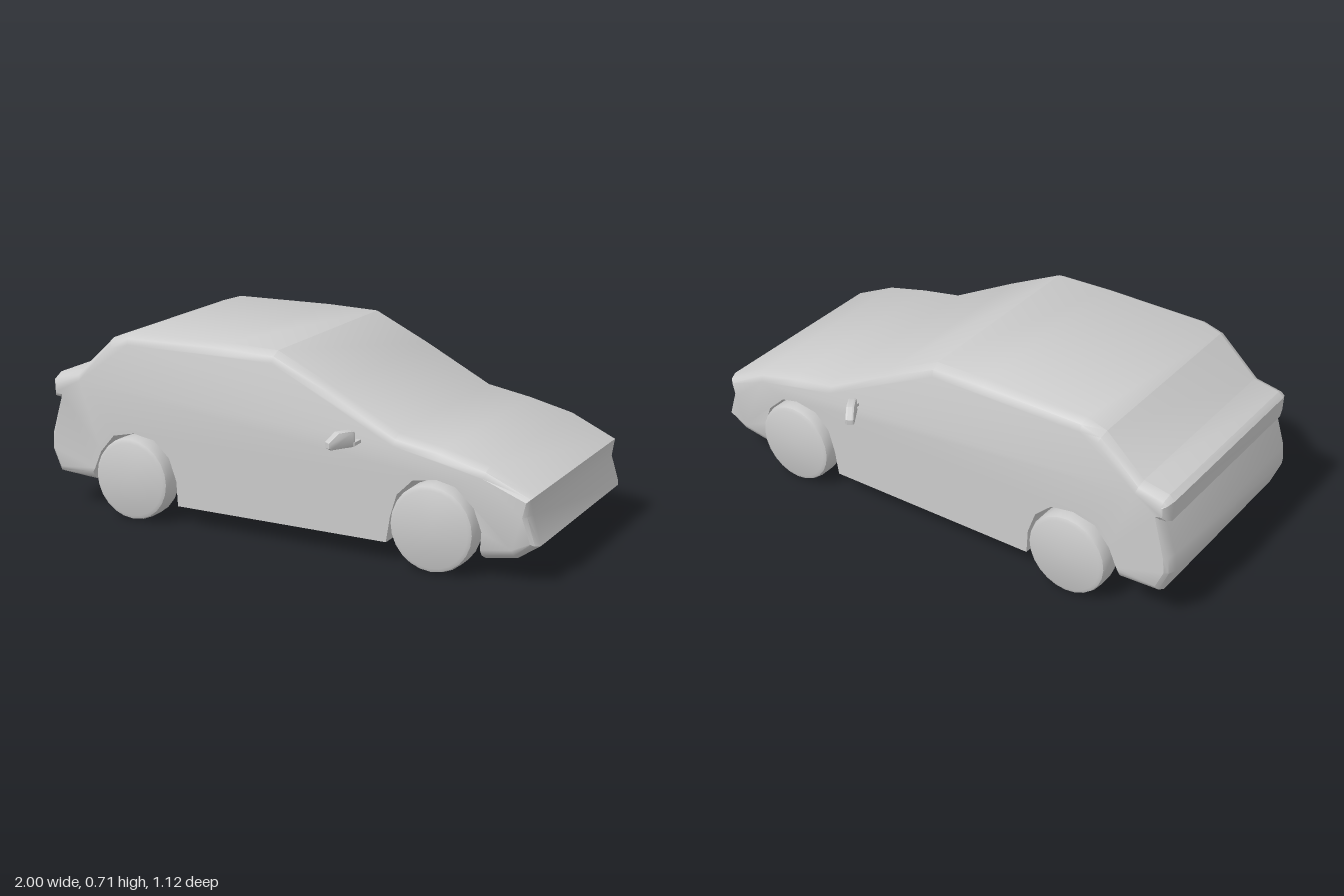
import * as THREE from 'three';
import { toCreasedNormals } from 'three/addons/utils/BufferGeometryUtils.js';

const V = (x, y) => new THREE.Vector2(x, y);

// Side outline: tail, roof, bonnet and nose (edges get rounded)
const SKIN = [
  [-0.80, 0.115], [-0.96, 0.125], [-1.0, 0.22], [-0.995, 0.29], [-0.95, 0.42], [-0.975, 0.42],
  [-0.98, 0.50], [-0.96, 0.52], [-0.86, 0.54], [-0.71, 0.68], [-0.63, 0.705], [-0.22, 0.71],
  [-0.01, 0.705], [0.21, 0.60], [0.47, 0.465], [0.64, 0.435], [0.81, 0.395], [0.98, 0.315],
  [0.97, 0.245], [1.0, 0.14], [0.92, 0.085], [0.80, 0.065],
].map(p => V(...p));

// Wheel arches and floor (edges stay sharp)
const UNDER = [
  [0.80, 0.17], [0.77, 0.25], [0.70, 0.315], [0.63, 0.33], [0.54, 0.315], [0.48, 0.255],
  [0.455, 0.17], [0.44, 0.075], [-0.42, 0.075], [-0.425, 0.17], [-0.455, 0.255], [-0.52, 0.315],
  [-0.61, 0.33], [-0.70, 0.31], [-0.76, 0.24], [-0.79, 0.17],
].map(p => V(...p));

// Outline pulled inwards by d along the skin only
function outline(d) {
  const edge = i => {
    if (i < 0 || i >= SKIN.length - 1) return V(0, 0);
    const e = SKIN[i + 1].clone().sub(SKIN[i]).normalize();
    return V(-e.y, e.x);
  };
  const skin = SKIN.map((p, i) => {
    const n = edge(i - 1).add(edge(i)).normalize();
    return V(p.x - n.x * d * 0.6, p.y - n.y * d);
  });
  return [...skin, ...UNDER];
}

// Loft the outline across the width, then close both flanks
function bodyGeometry() {
  const rings = [[-0.432, 0.04], [-0.42, 0.017], [-0.39, 0], [0.39, 0], [0.42, 0.017], [0.432, 0.04]];
  const pos = [], idx = [], n = SKIN.length + UNDER.length;
  for (const [z, d] of rings) for (const p of outline(d)) pos.push(p.x, p.y, z);
  for (let k = 0; k < rings.length - 1; k++) {
    for (let i = 0; i < n; i++) {
      const a = k * n + i, b = k * n + (i + 1) % n;
      idx.push(a, a + n, b, b, a + n, b + n);
    }
  }
  const cap = outline(0.04), last = (rings.length - 1) * n;
  for (const [a, b, c] of THREE.ShapeUtils.triangulateShape(cap, [])) {
    const ccw = cap[b].clone().sub(cap[a]).cross(cap[c].clone().sub(cap[a])) > 0;
    const [p, q] = ccw ? [b, c] : [c, b];
    idx.push(last + a, last + p, last + q, a, q, p);
  }
  const g = new THREE.BufferGeometry();
  g.setAttribute('position', new THREE.Float32BufferAttribute(pos, 3));
  g.setIndex(idx);
  return toCreasedNormals(g, 0.6);
}

// Solid wheel with rounded shoulders, axle along z
function wheelGeometry() {
  const profile = [[0, -0.051], [0.14, -0.051], [0.153, -0.045], [0.158, -0.03],
    [0.158, 0.03], [0.153, 0.045], [0.14, 0.051], [0, 0.051]].map(p => V(...p));
  return toCreasedNormals(new THREE.LatheGeometry(profile, 24).rotateX(Math.PI / 2), 0.6);
}

// Mirror shell running outwards along +x of its own frame
function mirrorGeometry() {
  const s = new THREE.Shape([[0, 0.003], [0.012, 0], [0.095, 0], [0.108, 0.008], [0.108, 0.028],
    [0.068, 0.06], [0.015, 0.06], [0, 0.054]].map(p => V(...p)));
  const g = new THREE.ExtrudeGeometry(s, {
    depth: 0.016, bevelEnabled: true, bevelThickness: 0.009, bevelSize: 0.008, bevelOffset: -0.008, bevelSegments: 2,
  });
  return toCreasedNormals(g.translate(0, 0, -0.008), 0.7);
}

export function createModel() {
  const car = new THREE.Group();
  car.name = 'car';
  const grey = new THREE.MeshStandardMaterial({ color: 0xcccccc });
  const add = (name, geometry, x, y, z, ry = 0) => {
    const m = new THREE.Mesh(geometry, grey);
    m.name = name;
    m.position.set(x, y, z);
    m.rotation.y = ry;
    car.add(m);
  };

  add('body', bodyGeometry(), 0, 0, 0);

  const wheel = wheelGeometry(), mirror = mirrorGeometry();
  const stalk = new THREE.BoxGeometry(0.016, 0.012, 0.06);
  for (const s of [1, -1]) {
    add('rearWheel', wheel, -0.605, 0.16, s * 0.416);
    add('frontWheel', wheel, 0.625, 0.16, s * 0.416);
    // Wing mirrors sweep back towards the tail
    add('mirrorShell', mirror, 0.328, 0.417, s * 0.463, Math.atan2(-s * 0.85, -0.53));
    add('mirrorStalk', stalk, 0.333, 0.429, s * 0.45);
  }
  return car;
}
